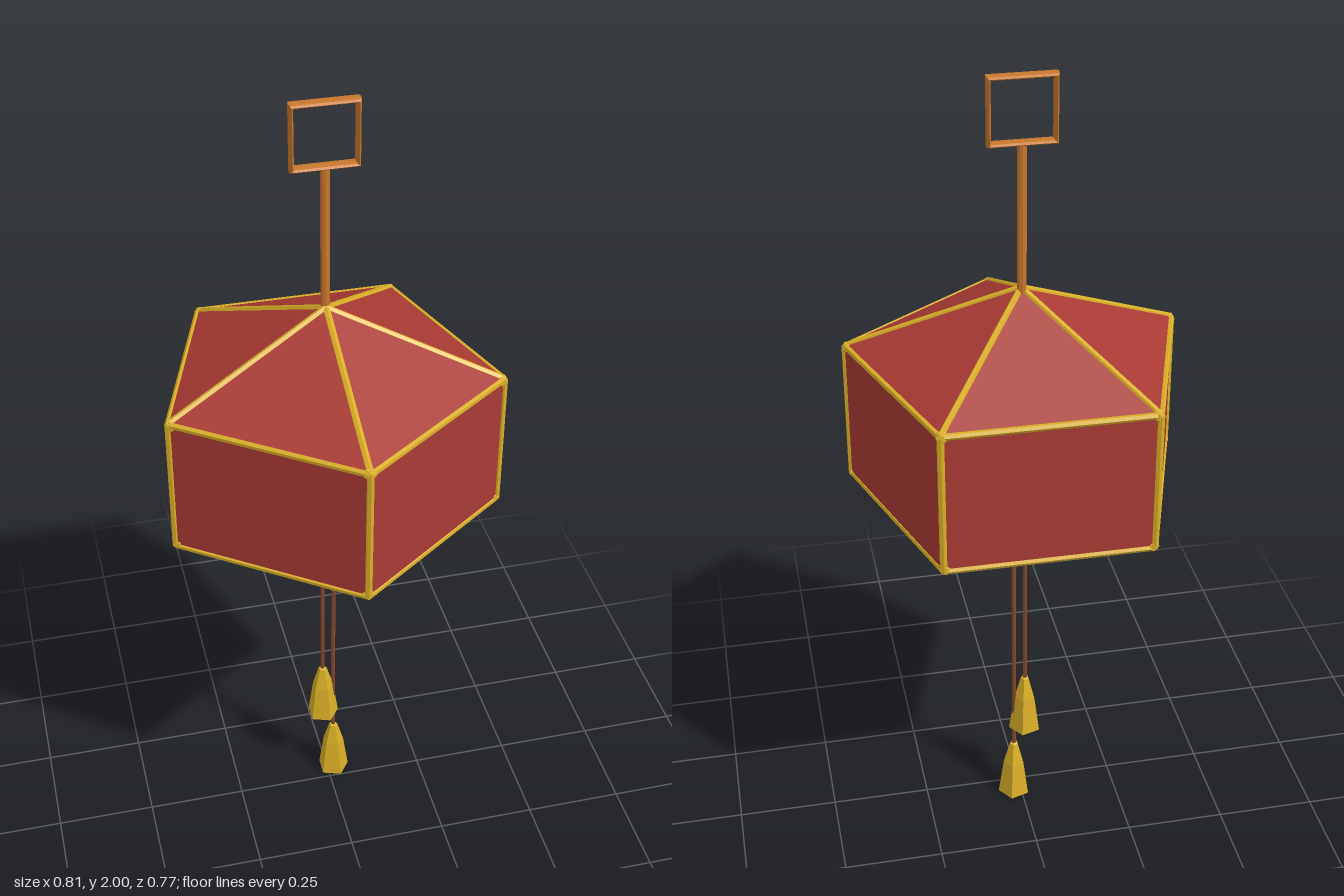
import * as THREE from 'three';

const paint = (name, color, extra = {}) => {
  const m = new THREE.MeshStandardMaterial({ color, flatShading: true, ...extra });
  m.name = name;
  return m;
};

export function createModel() {
  const red = paint('red paper', 0xa93a34);
  const gold = paint('gold trim', 0xd9ae26);
  const wood = paint('orange wood', 0xc8772c);
  const cord = paint('brown cord', 0x84492a);

  const group = new THREE.Group();
  const AXIS_Z = -0.04, MID_Y = 1.1475, SIDES = 5;

  const add = (parent, name, geometry, material, x = 0, y = 0, z = 0) => {
    const mesh = new THREE.Mesh(geometry, material);
    mesh.name = name;
    mesh.position.set(x, y, z);
    parent.add(mesh);
    return mesh;
  };
  const lathe = (points) =>
    new THREE.LatheGeometry(points.map(([r, y]) => new THREE.Vector2(r, y)), SIDES);

  // Straight bar between two points
  const bar = (parent, name, a, b, radius, material, sides = 6) => {
    const dir = b.clone().sub(a);
    const mesh = add(parent, name, new THREE.CylinderGeometry(radius, radius, dir.length(), sides), material);
    mesh.position.copy(a).add(b).multiplyScalar(0.5);
    mesh.quaternion.setFromUnitVectors(new THREE.Vector3(0, 1, 0), dir.normalize());
  };

  // Five-sided lantern body with pointed roof and underside
  const lantern = new THREE.Group();
  lantern.name = 'lantern';
  lantern.position.set(0, MID_Y, AXIS_Z);
  group.add(lantern);
  add(lantern, 'lanternBody', lathe([[0, -0.35], [0.42, -0.176], [0.42, 0.176], [0, 0.35]]), red);

  // Gold trim along every edge
  const corner = (i, y) => {
    const a = (i / SIDES) * Math.PI * 2;
    return new THREE.Vector3(Math.sin(a) * 0.416, y, Math.cos(a) * 0.416);
  };
  for (let i = 0; i < SIDES; i++) {
    bar(lantern, 'uprightTrim', corner(i, -0.173), corner(i, 0.173), 0.009, gold);
    for (const s of [-1, 1]) {
      const p = corner(i, s * 0.173);
      bar(lantern, 'rimTrim', p, corner(i + 1, s * 0.173), 0.008, gold);
      bar(lantern, 'ridgeTrim', p, new THREE.Vector3(0, s * 0.346, 0), 0.009, gold);
      const knob = p.clone().multiplyScalar(0.982);
      add(lantern, 'cornerTrim', new THREE.IcosahedronGeometry(0.017), gold, knob.x, knob.y, knob.z);
    }
  }
  for (const s of [-1, 1])
    add(lantern, 'peakTrim', new THREE.IcosahedronGeometry(0.018), gold, 0, s * 0.336, 0);

  // Hanging rod and square loop
  bar(group, 'hangingRod', new THREE.Vector3(0, 1.47, -0.049), new THREE.Vector3(0, 1.845, -0.049), 0.011, wood, 8);
  const loopGeometry = new THREE.TorusGeometry(0.1055, 0.0075, 8, 4);
  loopGeometry.rotateZ(Math.PI / 4).scale(1, 1, 2.3);
  add(group, 'hangingLoop', loopGeometry, wood, 0, 1.92, -0.051);

  // Two cords, each ending in a faceted tassel
  const tasselProfile = [[0, 0], [0.042, 0], [0.028, 0.1], [0.011, 0.16], [0, 0.165]];
  for (const [x, y] of [[-0.011, 0.215], [0.018, 0]]) {
    bar(group, 'tasselCord', new THREE.Vector3(x, y + 0.15, AXIS_Z), new THREE.Vector3(x, 0.82, AXIS_Z), 0.0055, cord);
    add(group, 'tassel', lathe(tasselProfile), gold, x, y, AXIS_Z).rotation.y = 0.3;
  }
  return group;
}
